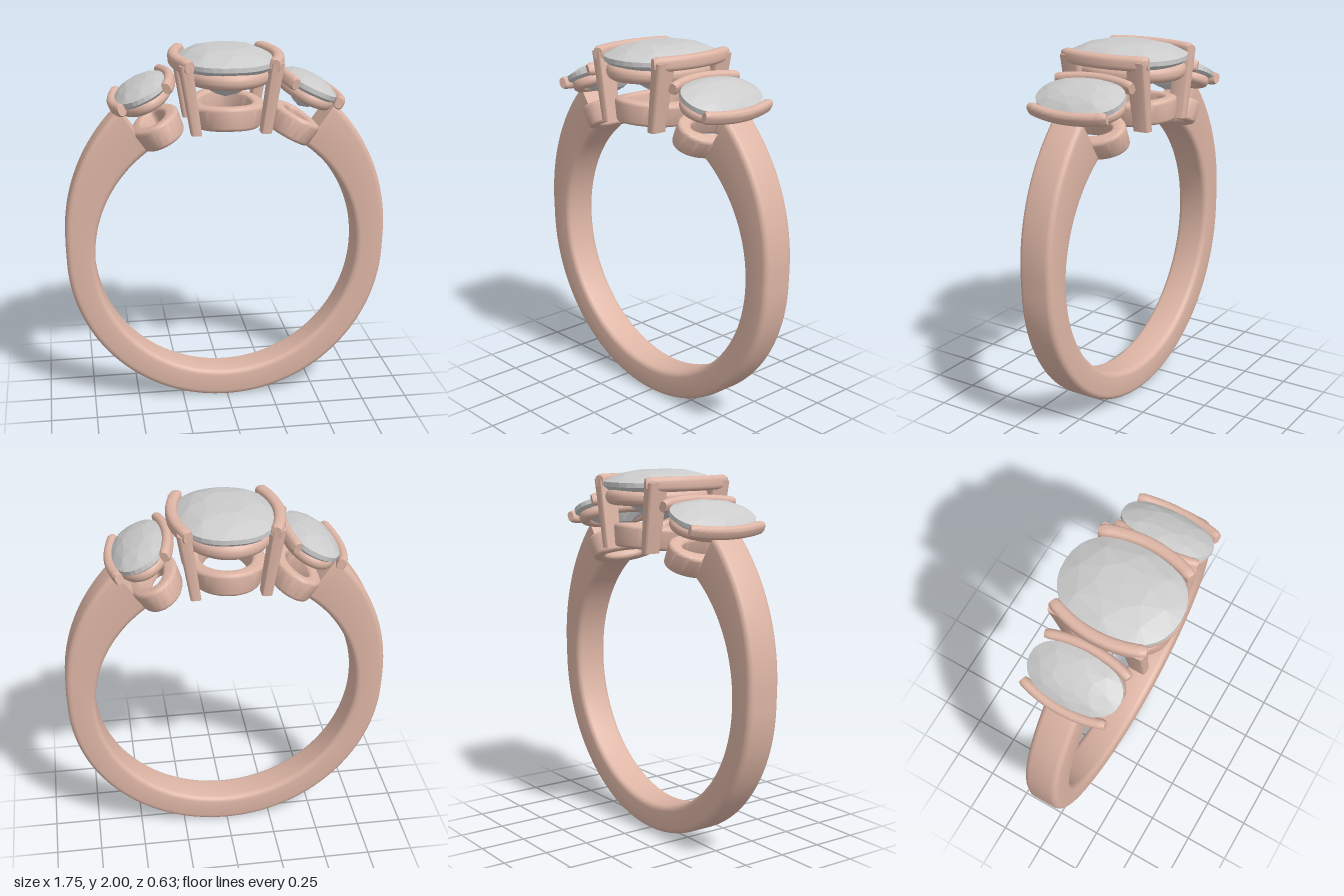
import * as THREE from 'three';
import { toCreasedNormals } from 'three/addons/utils/BufferGeometryUtils.js';
import { ConvexGeometry } from 'three/addons/geometries/ConvexGeometry.js';

const V = (x, y, z) => new THREE.Vector3(x, y, z);
const CY = 0.875, R = 0.72; // finger hole centre height and radius

// Rounded rectangle outline as [a, b] pairs
function roundedRect(w, h, r, n = 4) {
  const pts = [];
  for (let c = 0; c < 4; c++) {
    const sx = c === 0 || c === 3 ? 1 : -1, sy = c < 2 ? 1 : -1;
    for (let i = 0; i <= n; i++) {
      const a = (c + i / n) * Math.PI / 2;
      pts.push([sx * (w / 2 - r) + r * Math.cos(a), sy * (h / 2 - r) + r * Math.sin(a)]);
    }
  }
  return pts;
}

// Skin a row of equal-length loops; closed joins last to first, else ends are capped
function loft(loops, closed = false) {
  const n = loops[0].length, m = loops.length, verts = loops.flat(), idx = [];
  for (let i = 0; i < (closed ? m : m - 1); i++) {
    for (let j = 0; j < n; j++) {
      const k = (j + 1) % n, p = i * n, q = ((i + 1) % m) * n;
      idx.push(p + j, p + k, q + j, q + j, p + k, q + k);
    }
  }
  if (!closed) {
    for (let j = 1; j < n - 1; j++) {
      const e = (m - 1) * n;
      idx.push(0, j + 1, j, e, e + j, e + j + 1);
    }
  }
  // Turn the faces outward when the enclosed volume comes out negative
  let volume = 0;
  const cross = V();
  for (let i = 0; i < idx.length; i += 3) {
    volume += verts[idx[i]].dot(cross.crossVectors(verts[idx[i + 1]], verts[idx[i + 2]]));
  }
  if (volume < 0) idx.reverse();
  const g = new THREE.BufferGeometry().setFromPoints(verts);
  g.setIndex(idx);
  return toCreasedNormals(g, 0.7);
}

// Point and outward normal of a cushion-shaped oval
function oval(a, b, t, power = 0.88) {
  const c = Math.cos(t), s = Math.sin(t);
  const x = a * Math.sign(c) * Math.abs(c) ** power, z = b * Math.sign(s) * Math.abs(s) ** power;
  const len = Math.hypot(c / a, s / b);
  return { x, z, nx: c / a / len, nz: s / b / len };
}

// Oval ring with a rounded section; place() maps it into space
function ovalRing(a, b, w, h, r, place = V) {
  const loops = [], section = roundedRect(w, h, r);
  for (let i = 0; i < 72; i++) {
    const o = oval(a, b, i / 72 * Math.PI * 2, 1);
    loops.push(section.map(([u, v]) => place(o.x + o.nx * u, v, o.z + o.nz * u)));
  }
  return loft(loops, true);
}

// Ring bent to follow the finger hole, at an angle from the top
function gallery(angle, a, b) {
  const h = 0.125;
  return ovalRing(a, b, 0.07, h, 0.02, (x, y, z) => {
    const f = angle + x / 0.78, r = R + h / 2 + y;
    return V(r * Math.sin(f), CY + r * Math.cos(f), z);
  });
}

// Bar running front to back and bowing outward in x
function clawBar(x0, bow, halfZ, w, h) {
  const loops = [], section = roundedRect(w, h, 0.024);
  for (let i = 0; i <= 24; i++) {
    const t = i / 12 - 1, slope = -2 * bow * t / halfZ, len = Math.hypot(1, slope);
    const end = Math.abs(t) === 1 ? 0.8 : 1;
    loops.push(section.map(([u, v]) =>
      V(x0 - bow * t * t + u * end / len, v * end, t * halfZ - u * end * slope / len)));
  }
  return loft(loops);
}

// Faceted cushion stone: girdle at y = 0, domed crown, pointed pavilion
function stone(a, b, crown, depth) {
  const rings = [
    [0.42, crown, 8, 0.5], [0.74, crown * 0.72, 8, 0], [1, 0.012, 32, 0], [1, -0.012, 32, 0],
    [0.66, -depth * 0.5, 16, 0.5], [0.3, -depth * 0.85, 8, 0],
  ];
  const pts = [V(0, crown * 1.06, 0), V(0, -depth, 0)];
  for (const [s, y, n, shift] of rings) {
    for (let i = 0; i < n; i++) {
      const o = oval(a * s, b * s, (i + shift) / n * Math.PI * 2);
      pts.push(V(o.x, y, o.z));
    }
  }
  return new ConvexGeometry(pts);
}

export function createModel() {
  const model = new THREE.Group();
  const metal = new THREE.MeshStandardMaterial({ color: 0xddb5a5 });
  const gem = new THREE.MeshStandardMaterial({ color: 0xcccccc, flatShading: true });
  const add = (parent, name, geometry, material = metal) => {
    const mesh = new THREE.Mesh(geometry, material);
    mesh.name = name;
    parent.add(mesh);
    return mesh;
  };

  // Band: open at the top, thickening toward both shoulders
  const top = THREE.MathUtils.degToRad(54.5), loops = [];
  for (let i = 0; i <= 120; i++) {
    const a = top - i / 120 * (Math.PI + 2 * top);
    const rise = Math.max(0, Math.asin(Math.sin(a))) / top;
    const t = 0.154 + 0.118 * rise ** 1.25;
    loops.push(roundedRect(t, 0.19, 0.03).map(([u, v]) => {
      const r = R + t / 2 + u;
      return V(r * Math.cos(a), CY + r * Math.sin(a), v);
    }));
  }
  add(model, 'band', loft(loops));

  // Centre setting
  add(model, 'centreGallery', gallery(0, 0.165, 0.235));
  add(model, 'centreRail', ovalRing(0.205, 0.275, 0.085, 0.085, 0.04)).position.y = 1.858;
  add(model, 'centreStone', stone(0.255, 0.317, 0.07, 0.2), gem).position.y = 1.924;

  for (const side of [1, -1]) {
    const half = new THREE.Group();
    half.name = side > 0 ? 'leftSide' : 'rightSide';
    half.rotation.y = side > 0 ? 0 : Math.PI;
    model.add(half);

    // Claw bar of the centre stone on two tapered posts
    add(half, 'centreClawBar', clawBar(0.272, 0.055, 0.255, 0.062, 0.075)).position.y = 1.932;
    for (const z of [1, -1]) {
      const levels = [[0.182, 1.575, 0.2, 0.055, 0.09], [0.236, 1.94, 0.2, 0.068, 0.115]];
      add(half, 'centrePost', loft(levels.map(([x, y, pz, w, d]) =>
        roundedRect(w, d, 0.015).map(([u, v]) => V(x + u, y, z * pz + v)))));
    }

    // Side setting, tilted down and outward
    add(half, 'sideGallery', gallery(THREE.MathUtils.degToRad(27.5), 0.095, 0.175));
    const head = new THREE.Group();
    head.name = 'sideHead';
    head.position.set(0.45, 1.777, 0);
    head.rotation.z = THREE.MathUtils.degToRad(-25);
    half.add(head);
    add(head, 'sideStone', stone(0.148, 0.25, 0.052, 0.13), gem);
    add(head, 'sideRail', ovalRing(0.115, 0.205, 0.065, 0.065, 0.031)).position.y = -0.05;
    add(head, 'outerClawBar', clawBar(0.165, 0.04, 0.23, 0.05, 0.07)).position.y = -0.005;
    const inner = add(head, 'innerClawBar', clawBar(0.165, 0.04, 0.23, 0.05, 0.07));
    inner.position.y = -0.005;
    inner.rotation.y = Math.PI;
  }
  return model;
}
